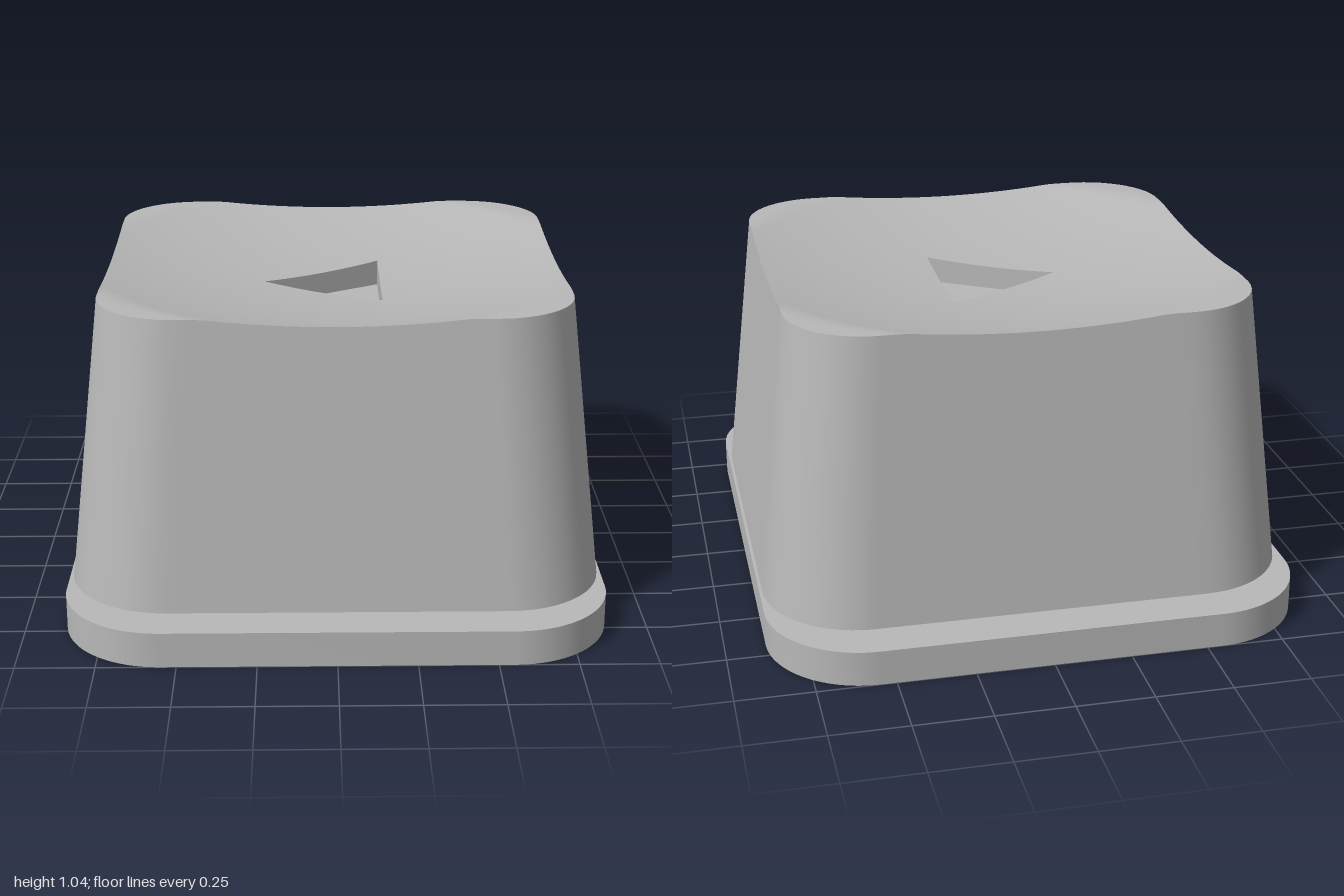
import * as THREE from 'three';
import { toCreasedNormals } from 'three/addons/utils/BufferGeometryUtils.js';

const BASE_Y = 0.115, TOP_Y = 1.045, FLOOR_Y = 0.865;
const TRIANGLE = [[0.16, 0.245], [-0.235, 0], [0.16, -0.245]];

// Rectangle with rounded corners, given half sizes and corner radius
function roundedRect(Type, w, d, r) {
  const s = new Type();
  s.absarc(w - r, d - r, r, 0, Math.PI / 2);
  s.absarc(r - w, d - r, r, Math.PI / 2, Math.PI);
  s.absarc(r - w, r - d, r, Math.PI, Math.PI * 1.5);
  s.absarc(w - r, r - d, r, Math.PI * 1.5, Math.PI * 2);
  s.closePath();
  return s;
}

// Distance from the centre to a rounded square of half size h, along angle a
function squareRadius(a, h, r) {
  const x = Math.abs(Math.cos(a)), z = Math.abs(Math.sin(a));
  const t = h / Math.max(x, z), c = h - r;
  if (t * Math.min(x, z) <= c) return t;
  const b = c * (x + z);
  return b + Math.sqrt(b * b - 2 * c * c + r * r);
}

// Distance from the centre to the triangle's edge, along angle a
function triangleRadius(a) {
  const dx = Math.cos(a), dz = Math.sin(a);
  let best = Infinity;
  TRIANGLE.forEach(([x, z], i) => {
    const [x2, z2] = TRIANGLE[(i + 1) % 3];
    const nx = z2 - z, nz = x - x2;
    const t = (nx * x + nz * z) / (nx * dx + nz * dz);
    if (t > 0) best = Math.min(best, t);
  });
  return best;
}

// Spherical dish that fades into flat corners
const dishY = (r) => Math.min(TOP_Y, 0.94 + 0.142 * r * r);

// Skin from ring to ring, closed at the end by a fan
function loft(rings, end) {
  const out = [];
  const n = rings[0].length;
  for (let i = 0; i < n; i++) {
    const j = (i + 1) % n;
    for (let k = 0; k + 1 < rings.length; k++) {
      const A = rings[k], B = rings[k + 1];
      out.push(...A[i], ...B[i], ...B[j], ...A[i], ...B[j], ...A[j]);
    }
    const L = rings[rings.length - 1];
    out.push(...L[i], ...end, ...L[j]);
  }
  const g = new THREE.BufferGeometry();
  g.setAttribute('position', new THREE.Float32BufferAttribute(out, 3));
  return toCreasedNormals(g, 0.5);
}

// Tapered cap with dished top and sunken triangle
function capGeometry() {
  const angles = Array.from({ length: 180 }, (_, i) => (i / 180) * Math.PI * 2);
  for (const [x, z] of TRIANGLE) {
    const a = (Math.atan2(z, x) + Math.PI * 2) % (Math.PI * 2);
    if (!angles.some((b) => Math.abs(a - b) < 1e-4)) angles.push(a);
  }
  angles.sort((a, b) => a - b);

  const wall = (a, y) => {
    const t = (y - BASE_Y) / (TOP_Y - BASE_Y);
    return squareRadius(a, 0.86 - 0.105 * t, 0.32 - 0.06 * t);
  };
  const rim = (a) => wall(a, dishY(wall(a, TOP_Y)));
  const ring = (radius, height) => angles.map((a) => {
    const r = radius(a);
    return [r * Math.cos(a), height(r), r * Math.sin(a)];
  });

  const rings = [ring((a) => wall(a, BASE_Y), () => BASE_Y)];
  const steps = 24;
  for (let k = 0; k <= steps; k++) {
    const t = k / steps;
    rings.push(ring((a) => rim(a) * (1 - t) + triangleRadius(a) * t, dishY));
  }
  rings.push(ring(triangleRadius, () => FLOOR_Y));
  return loft(rings, [0, FLOOR_Y, 0]);
}

export function createModel() {
  const model = new THREE.Group();
  model.name = 'buttonCap';
  const grey = new THREE.MeshStandardMaterial({ color: 0xb8b8b8, side: THREE.DoubleSide });
  grey.name = 'grey';
  const add = (name, geometry) => {
    const mesh = new THREE.Mesh(geometry, grey);
    mesh.name = name;
    model.add(mesh);
  };

  // Base flange with a square opening underneath
  const plate = roundedRect(THREE.Shape, 0.87, 1, 0.32);
  plate.holes.push(roundedRect(THREE.Path, 0.48, 0.48, 0.05));
  const flange = new THREE.ExtrudeGeometry(plate, { depth: BASE_Y, bevelEnabled: false, curveSegments: 16 });
  flange.rotateX(-Math.PI / 2);
  add('baseFlange', toCreasedNormals(flange, 0.5));

  add('cap', capGeometry());

  // Ceiling of the square recess, pierced by the round socket
  const ceiling = roundedRect(THREE.Shape, 0.48, 0.48, 0.05);
  ceiling.holes.push(new THREE.Path().absarc(0, 0, 0.3, 0, Math.PI * 2));
  add('recessCeiling', new THREE.ShapeGeometry(ceiling, 32).rotateX(Math.PI / 2).translate(0, BASE_Y, 0));

  // Blind round socket
  const profile = [[0.3, BASE_Y], [0.3, 0.315], [0, 0.315]].map(([x, y]) => new THREE.Vector2(x, y));
  add('socket', toCreasedNormals(new THREE.LatheGeometry(profile, 64), 0.5));

  return model;
}
